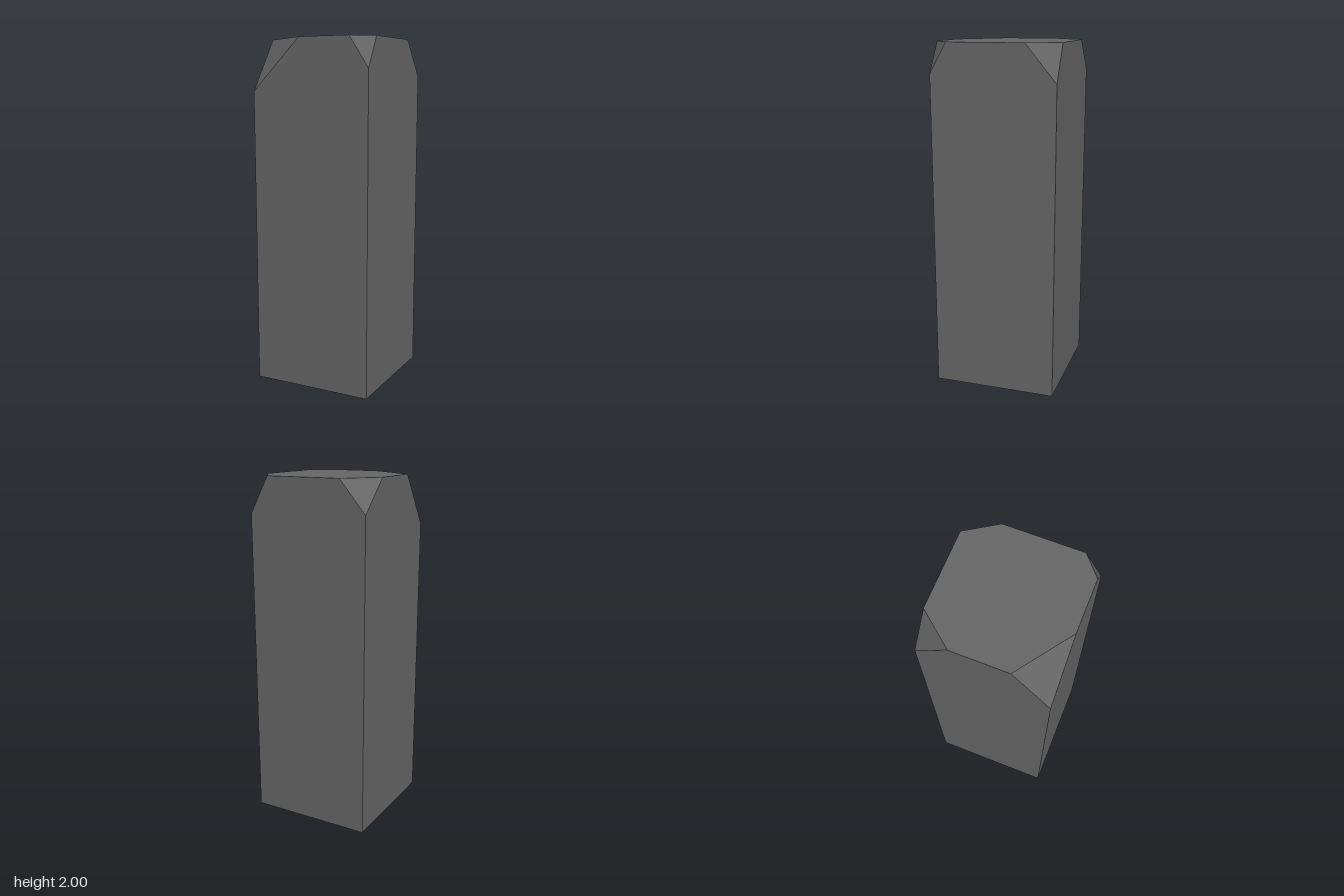
import * as THREE from 'three';
import { ConvexGeometry } from 'three/addons/geometries/ConvexGeometry.js';

const HALF = 0.357; // half the width of the square column
const HEIGHT = 2;

// One entry per vertical edge: its signs in x and z, and how far the
// bevel reaches from the top corner along x, along z and down the edge
const corners = [
  { sx: -1, sz: 1, alongX: 0.297, alongZ: 0.21, down: 0.295 },
  { sx: 1, sz: 1, alongX: 0.114, alongZ: 0.099, down: 0.172 },
  { sx: 1, sz: -1, alongX: 0.114, alongZ: 0.175, down: 0.208 },
  { sx: -1, sz: -1, alongX: 0.154, alongZ: 0.19, down: 0.18 },
];

export function createModel() {
  const stone = new THREE.MeshStandardMaterial({ color: 0x666666, flatShading: true });
  stone.name = 'darkGreyStone';

  // Square column with each top corner chipped off at its own angle
  const points = corners.flatMap(({ sx, sz, alongX, alongZ, down }) => {
    const x = sx * HALF;
    const z = sz * HALF;
    return [
      new THREE.Vector3(x, 0, z),
      new THREE.Vector3(x, HEIGHT - down, z),
      new THREE.Vector3(x - sx * alongX, HEIGHT, z),
      new THREE.Vector3(x, HEIGHT, z - sz * alongZ),
    ];
  });

  const column = new THREE.Mesh(new ConvexGeometry(points), stone);
  column.name = 'stoneColumn';

  const model = new THREE.Group();
  model.name = 'stonePillar';
  model.add(column);
  return model;
}
